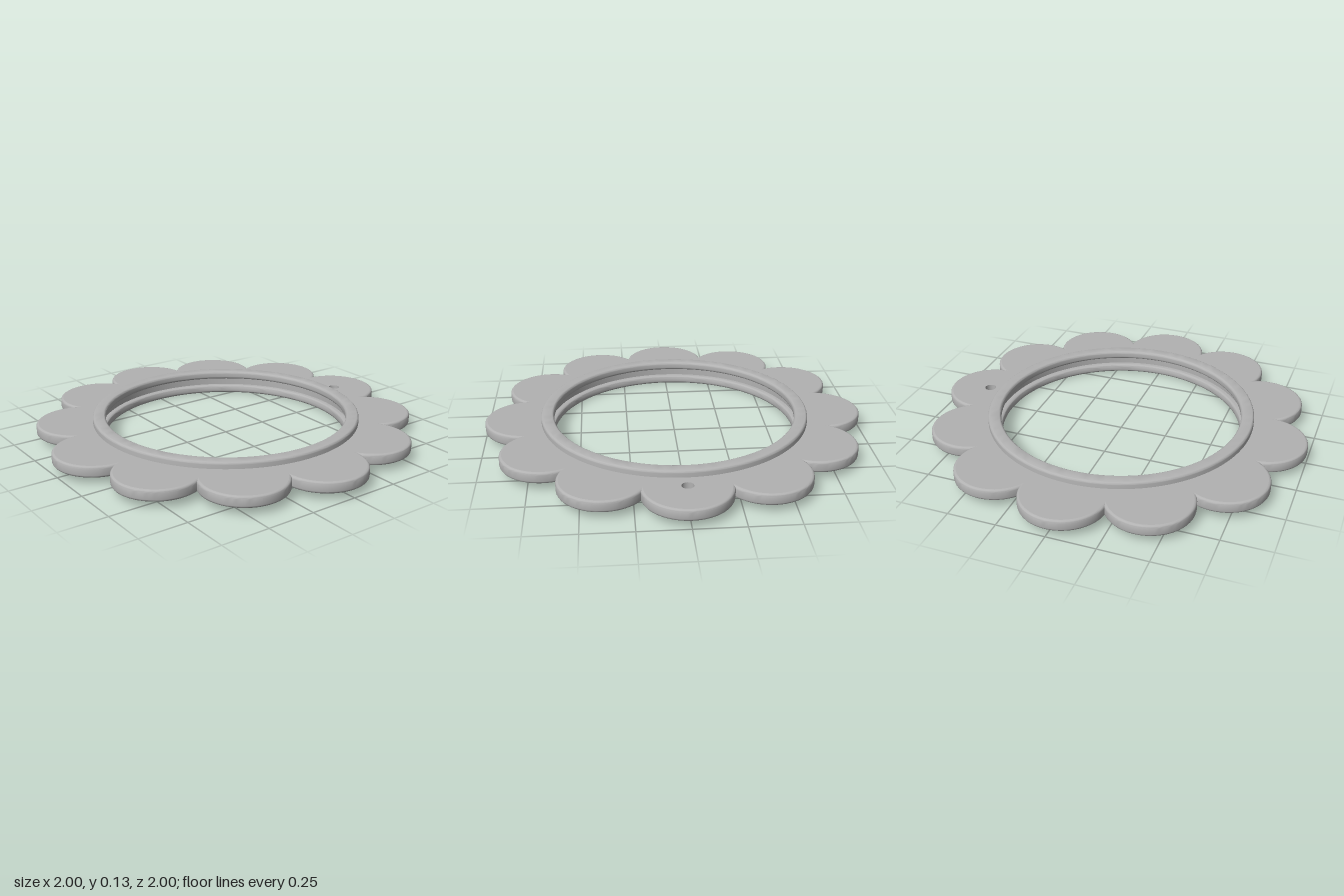
import * as THREE from 'three';
import { toCreasedNormals } from 'three/addons/utils/BufferGeometryUtils.js';

const PETALS = 12, CENTRE = 0.78, RADIUS = 0.22, ARC_STEPS = 32;
const BOTTOM = 0.038, TOP = 0.097, FILLET = 0.013, HOLE = 0.03;

// Scalloped outline, counter-clockwise, pulled in by a given inset
function outline(inset) {
  const half = Math.PI / PETALS, r = RADIUS - inset, points = [];
  const reach = half + Math.asin(CENTRE * Math.sin(half) / r);
  for (let k = 0; k < PETALS; k++) {
    const a = k * 2 * half;
    for (let i = 0; i < ARC_STEPS; i++) {
      const b = a - reach + 2 * reach * i / ARC_STEPS;
      points.push(new THREE.Vector2(
        CENTRE * Math.cos(a) + r * Math.cos(b),
        CENTRE * Math.sin(a) + r * Math.sin(b)));
    }
  }
  return points;
}

// Rounded scalloped edge lofted between inset outlines
function edgeGeometry() {
  const levels = [], steps = 4;
  for (const side of [-1, 1]) {
    for (let i = 0; i <= steps; i++) {
      const t = (side < 0 ? steps - i : i) / steps * Math.PI / 2;
      const y = side < 0 ? BOTTOM + FILLET : TOP - FILLET;
      levels.push([FILLET * (1 - Math.cos(t)), y + side * FILLET * Math.sin(t)]);
    }
  }
  const position = [], index = [], n = PETALS * ARC_STEPS;
  for (const [inset, y] of levels) {
    for (const p of outline(inset)) position.push(p.x, y, -p.y);
  }
  for (let j = 0; j < levels.length - 1; j++) {
    for (let i = 0; i < n; i++) {
      const a = j * n + i, b = j * n + (i + 1) % n;
      index.push(a, b, b + n, a, b + n, a + n);
    }
  }
  const geometry = new THREE.BufferGeometry();
  geometry.setAttribute('position', new THREE.Float32BufferAttribute(position, 3));
  geometry.setIndex(index);
  return toCreasedNormals(geometry, 0.6);
}

// Flat face of the petals; side is 1 for the top, -1 for the underside
function faceGeometry(side) {
  const shape = new THREE.Shape(outline(FILLET));
  const ring = new THREE.Path().absarc(0, 0, 0.69, 0, Math.PI * 2, true);
  const hole = new THREE.Path().absarc(0, side * CENTRE, HOLE, 0, Math.PI * 2, true);
  shape.holes.push(ring, hole);
  return new THREE.ShapeGeometry(shape, 48)
    .rotateX(-side * Math.PI / 2)
    .translate(0, side > 0 ? TOP : BOTTOM, 0);
}

// Rim section: two rounded lips with a groove between them on the inside
function rimGeometry() {
  const f = 0.014, outer = 0.705, inner = 0.637, height = 0.132;
  const grooveLow = 0.045, grooveHigh = 0.087, grooveRadius = 0.668;
  const profile = [];
  const corner = (x, y, quarter) => {
    for (let i = 0; i <= 5; i++) {
      const t = (quarter + i / 5) * Math.PI / 2;
      profile.push(new THREE.Vector2(x + f * Math.cos(t), y + f * Math.sin(t)));
    }
  };
  corner(outer - f, f, -1);
  corner(outer - f, height - f, 0);
  corner(inner + f, height - f, 1);
  corner(inner + f, grooveHigh + f, 2);
  profile.push(new THREE.Vector2(grooveRadius, grooveHigh), new THREE.Vector2(grooveRadius, grooveLow));
  corner(inner + f, grooveLow - f, 1);
  corner(inner + f, f, 2);
  profile.push(profile[0].clone());
  return toCreasedNormals(new THREE.LatheGeometry(profile, 128), 0.6);
}

export function createModel() {
  const model = new THREE.Group();
  model.name = 'scallopedRing';
  const grey = new THREE.MeshStandardMaterial({ color: 0xb2b2b2 });
  grey.name = 'grey';
  const add = (name, geometry, parent) => {
    const mesh = new THREE.Mesh(geometry, grey);
    mesh.name = name;
    parent.add(mesh);
    return mesh;
  };

  // Petal plate
  const plate = new THREE.Group();
  plate.name = 'petalPlate';
  model.add(plate);
  add('petalEdge', edgeGeometry(), plate);
  add('petalTop', faceGeometry(1), plate);
  add('petalUnderside', faceGeometry(-1), plate);

  // Wall of the hanging hole, facing inwards
  const wall = [new THREE.Vector2(HOLE, TOP), new THREE.Vector2(HOLE, BOTTOM)];
  add('hangingHole', new THREE.LatheGeometry(wall, 48), plate).position.z = -CENTRE;

  // Raised rim around the opening
  add('rim', rimGeometry(), model);
  return model;
}
